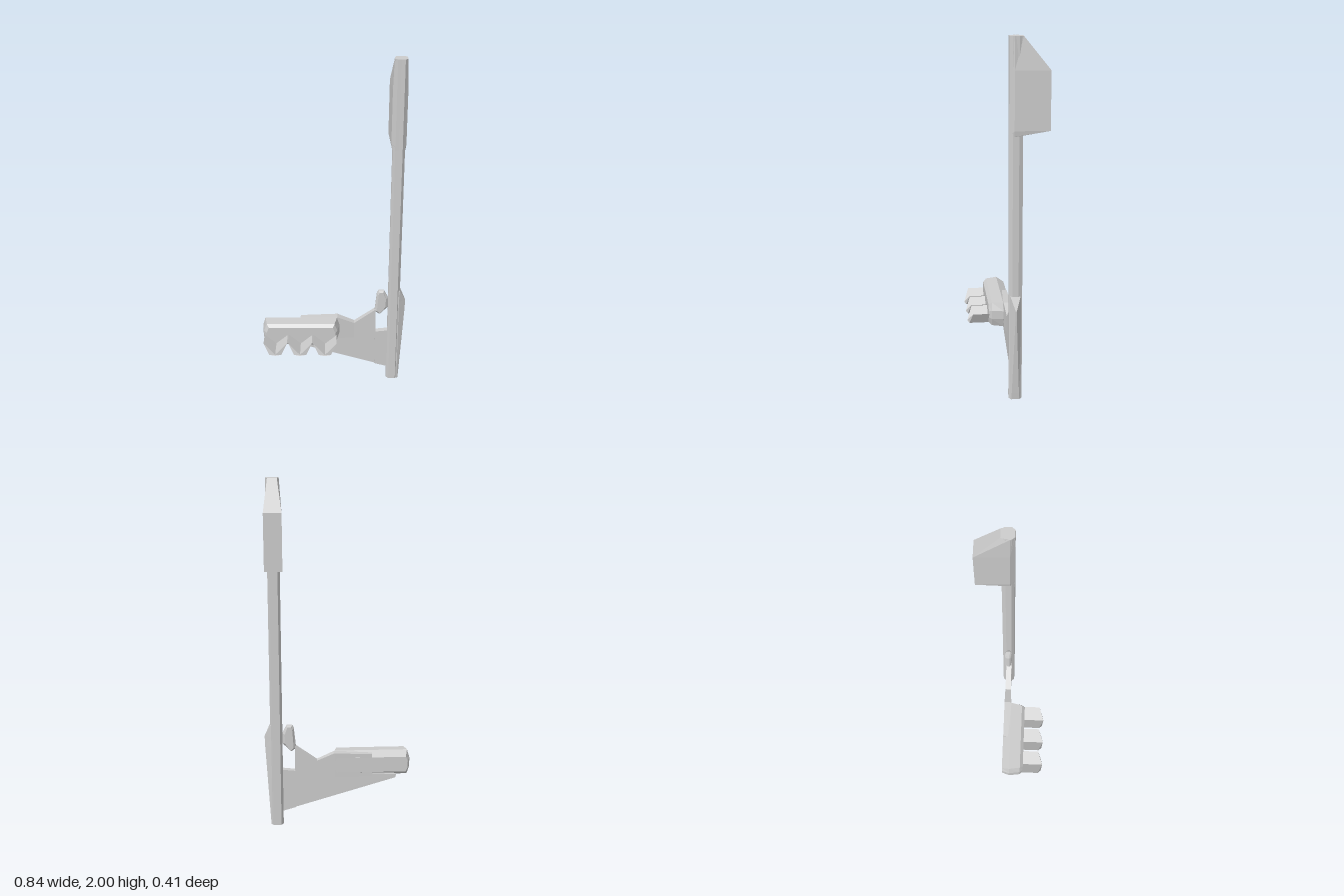
import * as THREE from 'three';

const material = new THREE.MeshStandardMaterial({ color: 0xcccccc, flatShading: true, side: THREE.DoubleSide });

function addMesh(group, name, geometry) {
  const mesh = new THREE.Mesh(geometry, material);
  mesh.name = name;
  group.add(mesh);
  return mesh;
}

// Skin a closed solid over loops of [x, y, z] points; capAxes picks the 2D plane of the caps
function loft(loops, [u, v]) {
  const n = loops[0].length;
  const tris = [];
  for (let s = 0; s < loops.length - 1; s++) {
    for (let i = 0; i < n; i++) {
      const j = (i + 1) % n;
      const [a, b, c, d] = [loops[s][i], loops[s][j], loops[s + 1][j], loops[s + 1][i]];
      tris.push([a, b, c], [a, c, d]);
    }
  }
  const cap = (loop, sign) => {
    let pts = loop.map(p => new THREE.Vector2(p[u], p[v]));
    const ccw = THREE.ShapeUtils.area(pts) > 0;
    for (const [a, b, c] of THREE.ShapeUtils.triangulateShape(pts, [])) {
      const t = [loop[a], loop[b], loop[c]];
      const area = THREE.ShapeUtils.area([pts[a], pts[b], pts[c]]) > 0;
      // Keep the loop direction on the far cap, reverse it on the near one
      tris.push((area === ccw) === sign ? t : [t[0], t[2], t[1]]);
    }
  };
  cap(loops[0], false);
  cap(loops[loops.length - 1], true);

  // Turn every face outward if the enclosed volume is negative
  const [A, B, C] = [0, 1, 2].map(() => new THREE.Vector3());
  const origin = new THREE.Vector3(...loops[0][0]);
  let volume = 0;
  for (const [a, b, c] of tris) {
    A.set(...a).sub(origin); B.set(...b).sub(origin); C.set(...c).sub(origin);
    volume += A.dot(B.cross(C));
  }
  const pos = tris.flatMap(([a, b, c]) => (volume > 0 ? [a, b, c] : [a, c, b]).flat());
  const g = new THREE.BufferGeometry();
  g.setAttribute('position', new THREE.Float32BufferAttribute(pos, 3));
  g.computeVertexNormals();
  return g;
}

const loftUp = sections => loft(sections.map(([y, pts]) => pts.map(([x, z]) => [x, y, z])), [0, 2]);
const loftForward = sections => loft(sections.map(([z, pts]) => pts.map(([x, y]) => [x, y, z])), [0, 1]);

// Rectangle with its corners cut
function cutRect(x0, x1, y0, y1, cx, cy) {
  return [[x0 + cx, y0], [x1 - cx, y0], [x1, y0 + cy], [x1, y1 - cy],
    [x1 - cx, y1], [x0 + cx, y1], [x0, y1 - cy], [x0, y0 + cy]];
}

export function createModel() {
  const model = new THREE.Group();
  model.name = 'postWithBracketedTray';

  // Tall faceted post
  const post = [[0.332, 0.004], [0.372, 0.006], [0.386, -0.012], [0.387, -0.045],
    [0.376, -0.066], [0.331, -0.066], [0.318, -0.045], [0.318, -0.012]];
  addMesh(model, 'post', loftUp([[0, post], [2, post]]));

  // Box behind the top of the post, sloping at the top
  const headSection = (back, w, side) => [[0.332, 0.005], [0.372, 0.005],
    [0.352 + side, -0.02], [0.352 + w, back], [0.352 - w, back], [0.352 - side, -0.02]];
  addMesh(model, 'headBox', loftUp([
    [1.49, headSection(-0.032, 0.036, 0.036)],
    [1.52, headSection(-0.205, 0.049, 0.041)],
    [1.83, headSection(-0.205, 0.049, 0.041)],
    [2, headSection(-0.067, 0.026, 0.036)],
  ]));

  // Ridged reinforcement on the outer side of the post base
  const ridge = (x, half) => [[0.35, 0], [0.382, 0], [x, -0.029 + half], [x, -0.029 - half], [0.382, -0.06], [0.35, -0.06]];
  addMesh(model, 'baseRidge', loftUp([
    [0, ridge(0.389, 0.022)], [0.04, ridge(0.392, 0.02)], [0.48, ridge(0.418, 0.004)],
    [0.54, ridge(0.42, 0.003)], [0.61, ridge(0.387, 0.027)],
  ]));

  // Bevelled tray body
  addMesh(model, 'trayBody', loftForward([
    [-0.045, cutRect(-0.408, 0.02, 0.31, 0.4, 0.012, 0.025)],
    [0, cutRect(-0.423, 0.032, 0.28, 0.43, 0.015, 0.05)],
    [0.065, cutRect(-0.413, 0.02, 0.283, 0.425, 0.017, 0.045)],
    [0.083, cutRect(-0.398, 0.008, 0.3, 0.408, 0.015, 0.035)],
  ]));

  // Arm tapering from the tray to the bracket: [x, bottom, top, back, front]
  const arm = [[-0.2, 0.285, 0.42, -0.044, -0.005], [0.02, 0.285, 0.43, -0.045, -0.002],
    [0.12, 0.285, 0.387, -0.044, -0.01], [0.247, 0.285, 0.48, -0.042, -0.012]];
  addMesh(model, 'arm', loft(arm.map(([x, b, t, k, f]) =>
    [[x, b, k], [x, b, f], [x, t, f], [x, t, k]]), [1, 2]));

  // Triangular fin below the tray
  const fin = [[-0.34, 0.29], [-0.34, 0.272], [0.247, 0.1], [0.247, 0.33]];
  addMesh(model, 'supportFin', loftForward([[-0.038, fin], [-0.016, fin]]));

  // Lower bracket joining fin and post
  const bracket = [[0.245, 0.1], [0.325, 0.078], [0.325, 0.336], [0.245, 0.327]];
  addMesh(model, 'lowerBracket', loftForward([[-0.044, bracket], [-0.01, bracket]]));

  // Upper hook, faceted towards front and back
  const hook = [[0.252, 0.585], [0.262, 0.603], [0.293, 0.603], [0.318, 0.555],
    [0.318, 0.495], [0.268, 0.445], [0.24, 0.465]];
  const shrunk = hook.map(([x, y]) => [0.28 + (x - 0.28) * 0.65, 0.525 + (y - 0.525) * 0.9]);
  addMesh(model, 'upperHook', loftForward([[-0.05, shrunk], [-0.035, hook], [-0.022, hook], [-0.01, shrunk]]));

  // Three folded petals along the front of the tray
  for (let i = 0; i < 3; i++) {
    const x = -0.341 + i * 0.1445;
    // Each point: offset in x, height, front reach
    const section = [[-0.068, 0.36, 0.176], [-0.036, 0.295, 0.195], [0, 0.294, 0.205],
      [0.036, 0.295, 0.195], [0.068, 0.36, 0.176], [0, 0.301, 0.204]];
    addMesh(model, 'petal' + (i + 1), loft([
      section.map(([dx, y]) => [x + dx, y, 0.08]),
      section.map(([dx, y, z]) => [x + dx, y, z]),
    ], [0, 1]));
  }

  return model;
}
